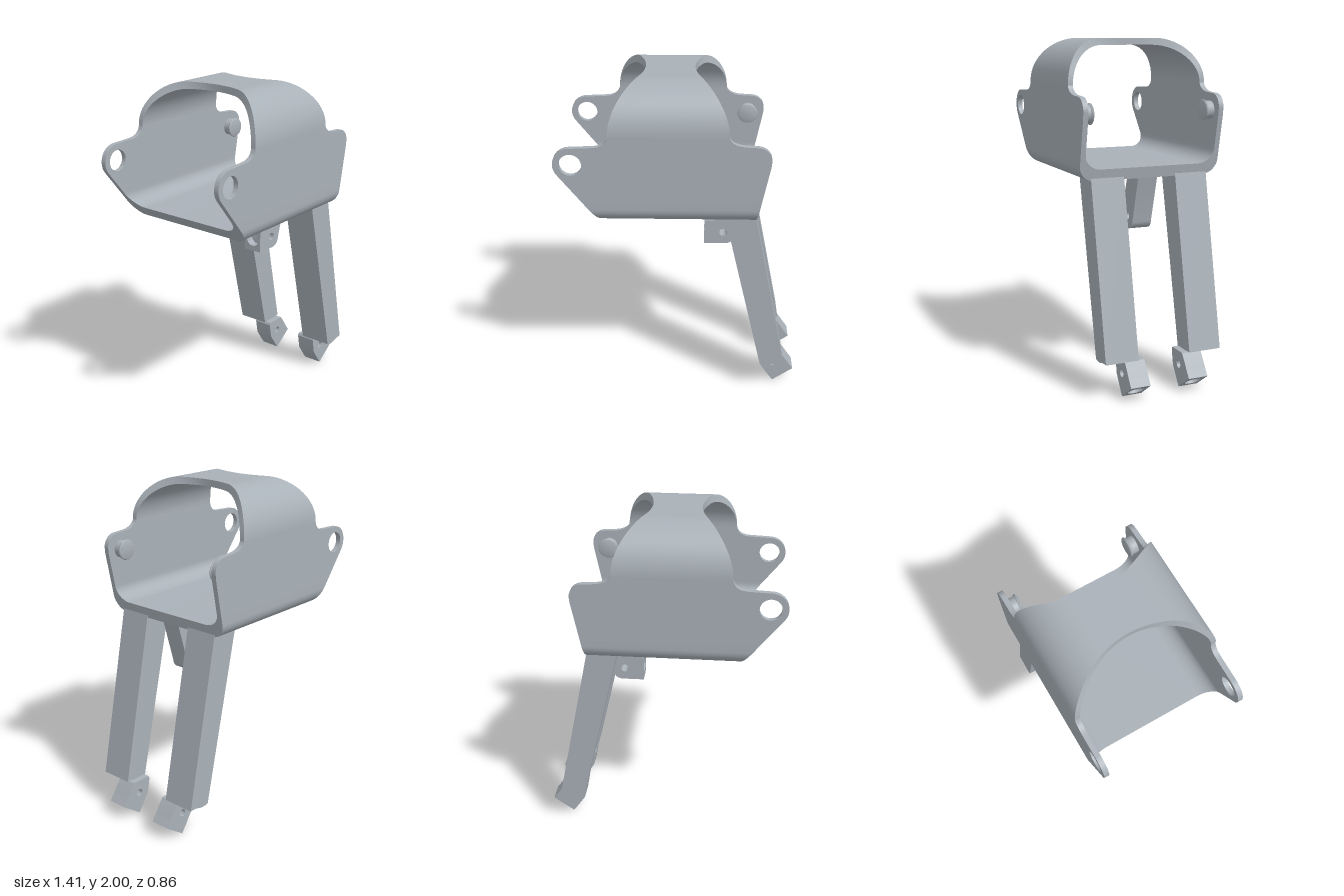
import * as THREE from 'three';
import { toCreasedNormals } from 'three/addons/utils/BufferGeometryUtils.js';

const grey = new THREE.MeshStandardMaterial({ color: 0xa9b1b8 });
grey.name = 'grey';

function add(parent, name, geometry) {
  const mesh = new THREE.Mesh(geometry, grey);
  mesh.name = name;
  parent.add(mesh);
  return mesh;
}

// Side profile (x, y) extruded from z0 to z1, with round holes [x, y, r]
function plate(shape, z0, z1, holes = []) {
  for (const [x, y, r] of holes) {
    const hole = new THREE.Path();
    hole.absarc(x, y, r, 0, Math.PI * 2, true);
    shape.holes.push(hole);
  }
  const g = new THREE.ExtrudeGeometry(shape, { depth: z1 - z0, bevelEnabled: false, curveSegments: 20 });
  g.translate(0, 0, z0);
  return toCreasedNormals(g, 0.6);
}

const polygon = (pts) => new THREE.Shape(pts.map(([x, y]) => new THREE.Vector2(x, y)));

// Square collar with a round socket, running along a direction in the xy plane
function collar(cx, cy, cz, dx, dy, width, depth, radius, length) {
  const w = width / 2, d = depth / 2;
  const g = plate(polygon([[-w, -d], [w, -d], [w, d], [-w, d]]), 0, length, [[0, 0, radius]]);
  const m = new THREE.Matrix4().makeBasis(
    new THREE.Vector3(-dy, dx, 0), new THREE.Vector3(0, 0, 1), new THREE.Vector3(dx, dy, 0));
  m.setPosition(cx, cy, cz);
  return g.applyMatrix4(m);
}

// Curved wall lofted along x; each rib is { o: [z, y], i: [z, y], xo: [l, r], xi: [l, r] }
function wallStrip(ribs) {
  const rings = ribs.map(({ o, i, xo, xi }) => [
    [xo[0], o[1], o[0]], [xo[1], o[1], o[0]], [xi[1], i[1], i[0]], [xi[0], i[1], i[0]]]);
  const pos = [];
  for (let n = 0; n < rings.length - 1; n++) {
    for (let k = 0; k < 4; k++) {
      const a = rings[n][k], b = rings[n][(k + 1) % 4];
      const c = rings[n + 1][(k + 1) % 4], d = rings[n + 1][k];
      pos.push(...a, ...b, ...c, ...a, ...c, ...d);
    }
  }
  const g = new THREE.BufferGeometry();
  g.setAttribute('position', new THREE.Float32BufferAttribute(pos, 3));
  return toCreasedNormals(g, 0.6);
}

// Mirror a half set of ribs across z
const mirrored = (ribs) => [...ribs, ...ribs.slice().reverse().map((r) => ({
  ...r, o: [-r.o[0], r.o[1]], i: [-r.i[0], r.i[1]] }))];

function topArch() {
  const ribs = [];
  const trim = (z) => {
    const s = 0.19 * (z / 0.43) ** 2;
    return [-0.21 - s, 0.07 + s];
  };
  const rib = (o, i) => ribs.push({ o, i, xo: trim(o[0]), xi: trim(o[0]) });
  for (let n = 0; n <= 20; n++) {
    const t = (n / 20) * Math.PI / 2, c = Math.cos(t), s = Math.sin(t);
    rib([0.18 + 0.25 * c, 1.74 + 0.26 * s], [0.16 + 0.24 * c, 1.74 + 0.22 * s]);
  }
  for (const f of [0.75, 0.5, 0.25, 0.05]) rib([0.18 * f, 2], [0.16 * f, 1.96]);
  return wallStrip(mirrored(ribs));
}

const leftTrim = (y) => -0.45 - (y - 1.22) * 0.786;
const rightTrim = (y) => 0.418 + (y - 1.22) * 0.2;

function bottomTrough() {
  const ribs = [];
  const trim = (y) => [leftTrim(y), rightTrim(y)];
  const rib = (o, i) => ribs.push({ o, i, xo: trim(o[1]), xi: trim(i[1]) });
  rib([-0.43, 1.38], [-0.4, 1.38]);
  for (let n = 0; n <= 12; n++) {
    const t = (n / 12) * Math.PI / 2, c = Math.cos(t), s = Math.sin(t);
    rib([-0.34 - 0.09 * c, 1.31 - 0.09 * s], [-0.3 - 0.1 * c, 1.37 - 0.085 * s]);
  }
  return wallStrip(mirrored(ribs));
}

// Flat cheek with a pierced rear ear and a rounded front ear
function cheekShape() {
  const s = new THREE.Shape();
  s.moveTo(-0.4, 1.74);
  s.quadraticCurveTo(-0.41, 1.685, -0.48, 1.68);
  s.lineTo(-0.608, 1.674);
  s.absarc(-0.608, 1.577, 0.097, Math.PI / 2, Math.PI * 1.21, false);
  s.lineTo(leftTrim(1.38), 1.38);
  s.lineTo(rightTrim(1.38), 1.38);
  s.lineTo(0.489, 1.575);
  s.absarc(0.415, 1.61, 0.077, -0.15, Math.PI / 2, false);
  s.lineTo(0.36, 1.69);
  s.quadraticCurveTo(0.275, 1.695, 0.26, 1.74);
  return s;
}

export function createModel() {
  const model = new THREE.Group();
  model.name = 'clampBracket';

  // Hollow body
  add(model, 'topArch', topArch());
  add(model, 'bottomTrough', bottomTrough());

  for (const side of [1, -1]) {
    const label = side > 0 ? 'front' : 'back';
    const span = (a, b) => (side > 0 ? [a, b] : [-b, -a]);

    add(model, label + 'Cheek', plate(cheekShape(), ...span(0.4, 0.43), [[-0.608, 1.577, 0.062]]));

    // Flanged pin on the inner wall
    const profile = [[0, 0.345], [0.05, 0.345], [0.058, 0.348], [0.061, 0.353], [0.058, 0.359],
      [0.052, 0.363], [0.052, 0.405]].map(([r, h]) => new THREE.Vector2(r, h));
    const pin = toCreasedNormals(new THREE.LatheGeometry(profile, 32), 0.6);
    pin.rotateX(side * Math.PI / 2);
    pin.translate(0.39, 1.59, 0);
    add(model, label + 'Pin', pin);

    // Slanted leg with a softly curved lower end
    const leg = polygon([[0.42, 1.24], [0.245, 1.24], [0.482, 0.215]]);
    leg.bezierCurveTo(0.54, 0.19, 0.56, 0.23, 0.627, 0.222);
    add(model, label + 'Leg', plate(leg, ...span(0.16, 0.36)));

    // Offset foot with a cross hole and an end socket
    const foot = polygon([[0.546, 0.045], [0.671, 0.135], [0.645, 0.175], [0.613, 0.22],
      [0.49, 0.22], [0.483, 0.205], [0.5, 0.113]]);
    add(model, label + 'Foot', plate(foot, ...span(0.12, 0.24), [[0.57, 0.14, 0.023]]));
    add(model, label + 'FootSocket',
      collar(0.6085, 0.09, side * 0.18, 0.584, -0.812, 0.154, 0.12, 0.048, 0.05));
  }

  // Central lug with a cross hole and a socket facing the rear
  const lug = polygon([[0.18, 0.9], [0.265, 0.9]]);
  lug.quadraticCurveTo(0.31, 0.905, 0.317, 0.955);
  lug.lineTo(0.4, 1.24);
  lug.lineTo(0.255, 1.24);
  lug.lineTo(0.19, 1.055);
  lug.lineTo(0.18, 1.055);
  add(model, 'centreLug', plate(lug, -0.06, 0.06, [[0.245, 0.975, 0.024]]));
  add(model, 'lugSocket', collar(0.18, 0.9775, 0, -1, 0, 0.155, 0.12, 0.045, 0.05));

  return model;
}
